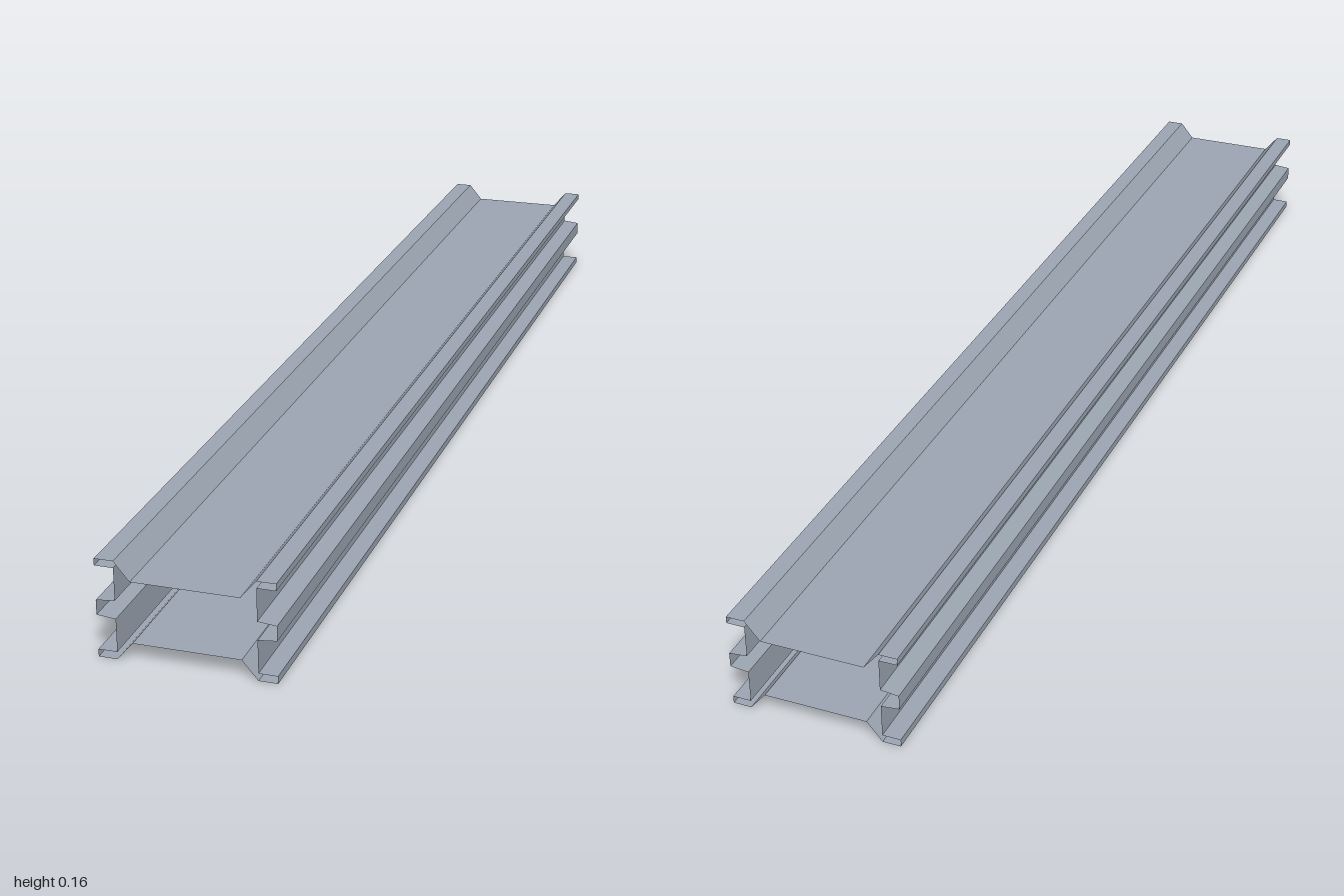
import * as THREE from 'three';

const HALF_LENGTH = 1;

// Open sheet: sweeps a folded line of [x, y] points along z, one flat quad per fold
function foldedSheet(name, points, material) {
  const positions = [];
  for (let i = 0; i < points.length - 1; i++) {
    const [ax, ay] = points[i];
    const [bx, by] = points[i + 1];
    const a = [ax, ay, HALF_LENGTH], b = [bx, by, HALF_LENGTH];
    const c = [bx, by, -HALF_LENGTH], d = [ax, ay, -HALF_LENGTH];
    positions.push(...a, ...c, ...d, ...a, ...b, ...c);
  }
  const geometry = new THREE.BufferGeometry();
  geometry.setAttribute('position', new THREE.Float32BufferAttribute(positions, 3));
  geometry.computeVertexNormals();
  const mesh = new THREE.Mesh(geometry, material);
  mesh.name = name;
  return mesh;
}

export function createModel() {
  const group = new THREE.Group();
  group.name = 'beam';
  const steel = new THREE.MeshStandardMaterial({ color: 0x9aa4b0, side: THREE.DoubleSide });
  steel.name = 'steel grey';

  // Left side from top to bottom: slope, top flange, web, middle rib, web, bottom flange, slope
  const side = [
    [0.085, 0.13], [0.11, 0.16], [0.14, 0.16], [0.14, 0.149], [0.11, 0.149],
    [0.11, 0.096], [0.14, 0.093], [0.14, 0.069], [0.11, 0.066],
    [0.11, 0.012], [0.14, 0.012], [0.14, 0], [0.11, 0], [0.085, 0.03],
  ];
  // Mirrored and reversed so its faces still point outwards
  const mirrored = side.map(([x, y]) => [-x, y]).reverse();

  group.add(
    foldedSheet('leftSide', side, steel),
    foldedSheet('rightSide', mirrored, steel),
    foldedSheet('topDeck', [[-0.085, 0.13], [0.085, 0.13]], steel),
    foldedSheet('bottomDeck', [[0.085, 0.03], [-0.085, 0.03]], steel),
  );
  return group;
}
